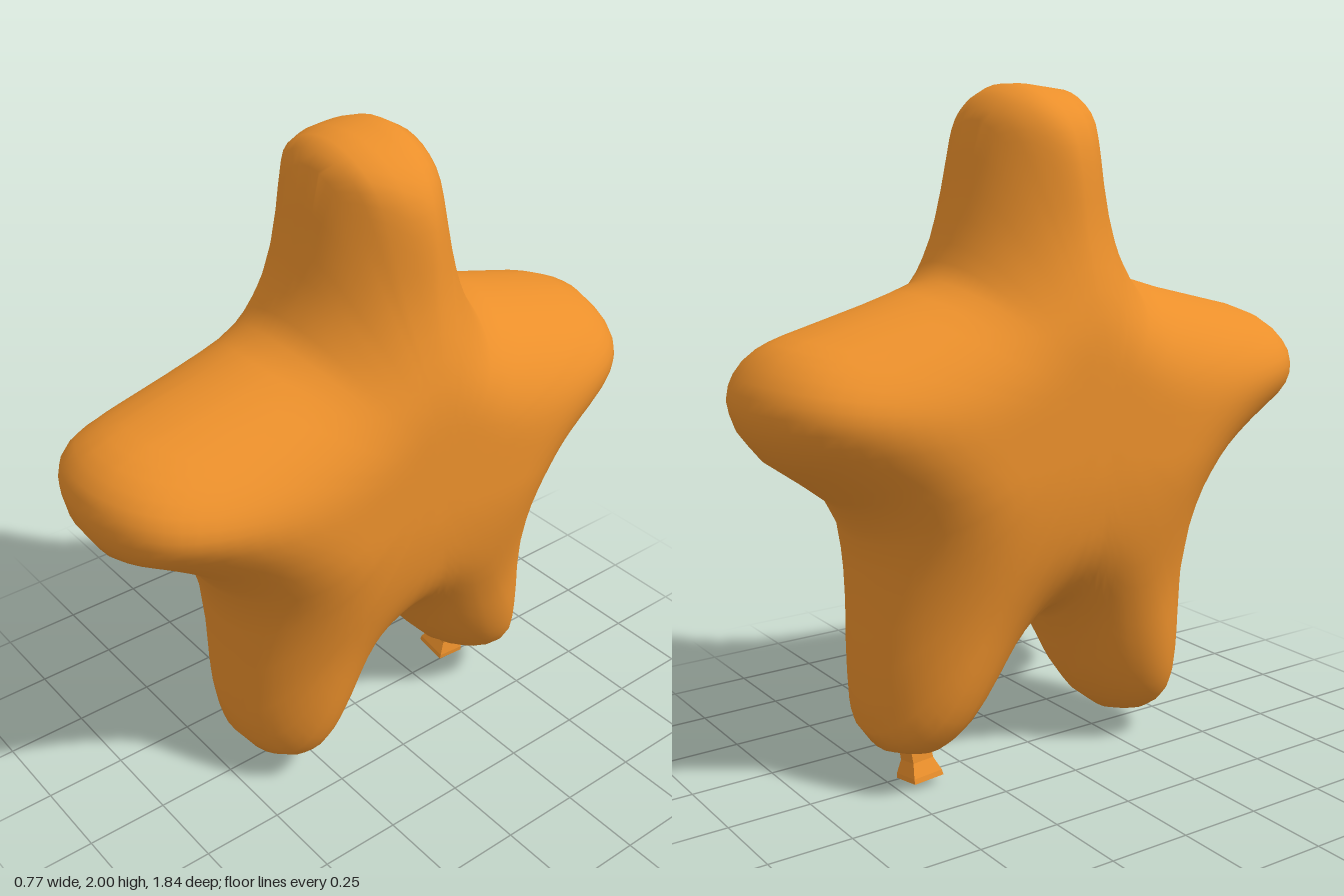
import * as THREE from 'three';

// Star outline as [z, y], starting at the head and running towards the back arm
const OUTLINE = [
  [-0.03, 2.0], [-0.09, 1.998], [-0.15, 1.965], [-0.19, 1.9], [-0.23, 1.71], [-0.27, 1.56], [-0.32, 1.46],
  [-0.5, 1.405], [-0.76, 1.335], [-0.84, 1.3], [-0.9, 1.23], [-0.92, 1.16], [-0.9, 1.08], [-0.84, 1.0],
  [-0.73, 0.92], [-0.64, 0.85], [-0.59, 0.75], [-0.58, 0.59], [-0.585, 0.365], [-0.575, 0.185], [-0.53, 0.12],
  [-0.44, 0.09], [-0.37, 0.11], [-0.29, 0.16], [-0.22, 0.24], [-0.095, 0.42], [-0.03, 0.46], [0.03, 0.41],
  [0.135, 0.21], [0.2, 0.12], [0.27, 0.065], [0.35, 0.05], [0.425, 0.08], [0.475, 0.155], [0.495, 0.275],
  [0.505, 0.6], [0.54, 0.75], [0.615, 0.855], [0.72, 0.93], [0.87, 1.02], [0.91, 1.09], [0.92, 1.16],
  [0.9, 1.23], [0.835, 1.29], [0.74, 1.325], [0.46, 1.395], [0.28, 1.45], [0.22, 1.565], [0.19, 1.69],
  [0.155, 1.92], [0.1, 1.985],
];
const CENTRE_Y = 1.1;
const HALF_THICKNESS = 0.386;
const ROUNDING = 0.34; // distance from the rim at which full thickness is reached

// Points along the outline, each edge cut into equal steps of the given length
function sampleOutline(steps) {
  return OUTLINE.flatMap(([z0, y0], i) => {
    const [z1, y1] = OUTLINE[(i + 1) % OUTLINE.length];
    const length = Math.hypot(z1 - z0, y1 - y0) / steps;
    return Array.from({ length: steps }, (_, k) => {
      const t = k / steps;
      return { z: z0 + (z1 - z0) * t, y: y0 + (y1 - y0) * t, length };
    });
  });
}
const RIM = sampleOutline(24);

// Smoothed distance to the rim: every piece of rim counts, the near ones most
function rimDistance(z, y) {
  let sum = 0;
  for (const p of RIM) {
    const d2 = (p.z - z) ** 2 + (p.y - y) ** 2;
    sum += p.length / (d2 * d2 * Math.sqrt(d2));
  }
  return Math.pow(0.75 * sum, -0.25);
}

// Half thickness of the inflated star; head and legs are slimmer than the arms
function thickness(z, y) {
  const t = Math.min(1, rimDistance(z, y) / ROUNDING);
  const legs = 0.15 * (1 - THREE.MathUtils.smoothstep(y, 0.45, 0.95));
  const head = 0.1 * THREE.MathUtils.smoothstep(y, 1.3, 1.65);
  return HALF_THICKNESS * Math.sqrt(1 - (1 - t) ** 2) * (1 - legs - head);
}

// Nested copies of the outline, from the middle of one side over the rim to the other
function starGeometry(rows) {
  const rim = sampleOutline(2);
  const n = rim.length;
  const positions = [];
  const indices = [];
  for (let i = 0; i <= rows; i++) {
    const s = Math.sin((i / rows) * Math.PI);
    const side = Math.sign(rows / 2 - i);
    for (const p of rim) {
      const y = CENTRE_Y + s * (p.y - CENTRE_Y);
      const z = s * p.z;
      positions.push(side === 0 ? 0 : side * thickness(z, y), y, z);
    }
  }
  for (let i = 0; i < rows; i++) {
    for (let j = 0; j < n; j++) {
      const k = (j + 1) % n;
      const a = i * n + j, b = i * n + k, c = b + n, d = a + n;
      if (i > 0) indices.push(a, b, d);
      if (i < rows - 1) indices.push(b, c, d);
    }
  }
  const geometry = new THREE.BufferGeometry();
  geometry.setAttribute('position', new THREE.Float32BufferAttribute(positions, 3));
  geometry.setIndex(indices);
  geometry.computeVertexNormals();
  return geometry;
}

export function createModel() {
  const group = new THREE.Group();
  const color = 0xea8f2b;

  // Inflated star body
  const body = new THREE.Mesh(starGeometry(40), new THREE.MeshStandardMaterial({ color }));
  body.name = 'starBalloon';
  group.add(body);

  // Flared square nozzle with a small hole underneath
  const profile = [[0, 0.06], [0.025, 0.05], [0.032, 0.012], [0.068, 0], [0.066, 0.015], [0.047, 0.055], [0.047, 0.14]]
    .map(([r, y]) => new THREE.Vector2(r, y));
  const nozzle = new THREE.Mesh(
    new THREE.LatheGeometry(profile, 4, Math.PI / 4),
    new THREE.MeshStandardMaterial({ color, flatShading: true, side: THREE.DoubleSide }));
  nozzle.name = 'nozzle';
  nozzle.position.set(-0.045, 0.015, -0.415);
  nozzle.rotation.set(-0.08, 0, -0.18);
  nozzle.scale.x = 1.13;
  group.add(nozzle);

  return group;
}
